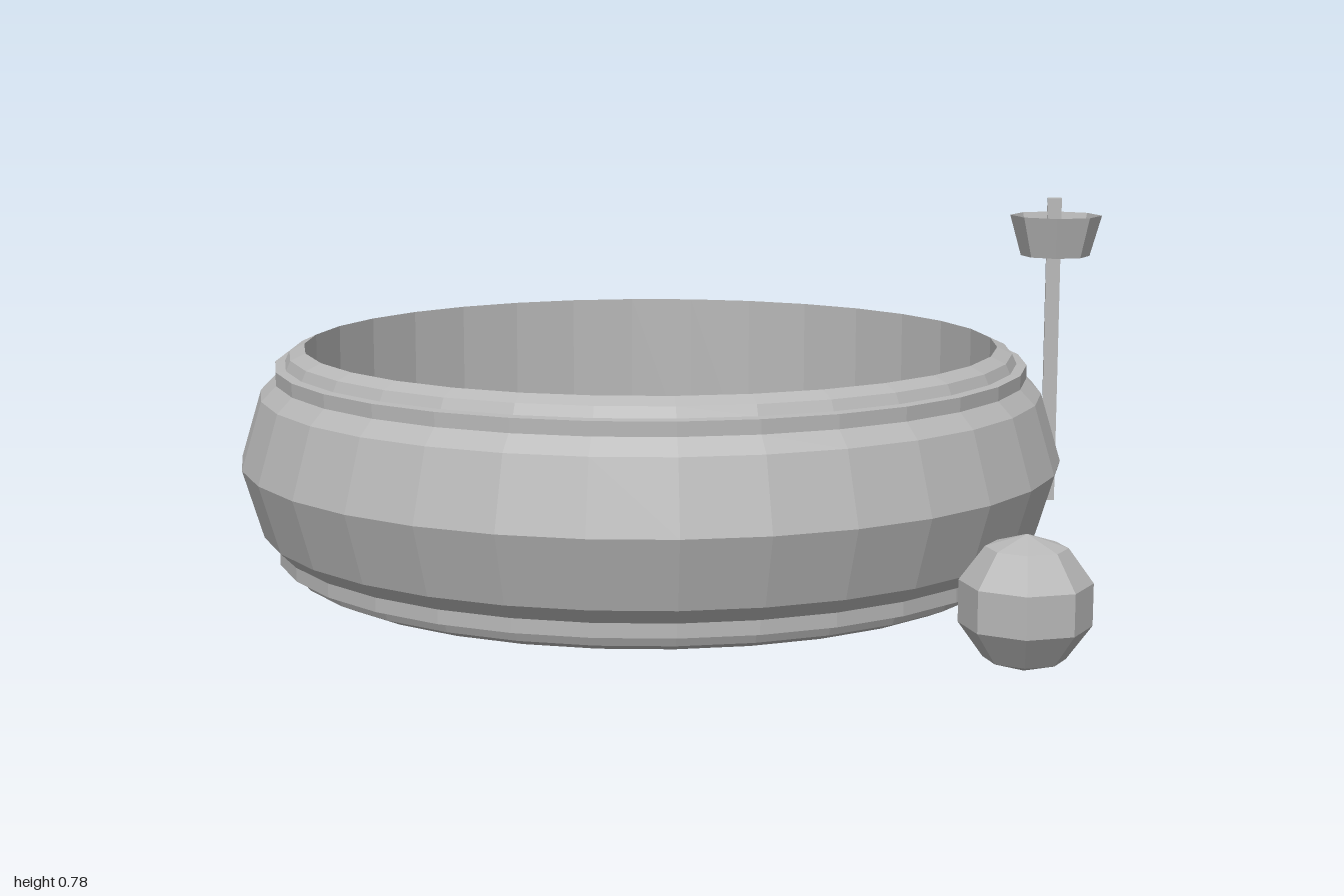
import * as THREE from 'three';

export function createModel() {
  const model = new THREE.Group();
  const grey = new THREE.MeshStandardMaterial({ color: 0xb8b8b8, flatShading: true });
  grey.name = 'plain grey';
  const openGrey = new THREE.MeshStandardMaterial({ color: 0xb8b8b8, flatShading: true, side: THREE.DoubleSide });
  openGrey.name = 'plain grey, two-sided';

  const add = (name, geometry, x, y, z, material = grey) => {
    const mesh = new THREE.Mesh(geometry, material);
    mesh.name = name;
    mesh.position.set(x, y, z);
    model.add(mesh);
    return mesh;
  };
  const lathe = (points, sides) =>
    new THREE.LatheGeometry(points.map(([r, y]) => new THREE.Vector2(r, y)), sides);

  // Paddling pool: the outer wall is mirrored about its widest point
  const mid = 0.272;
  const upper = [[0.87, 0.15], [0.837, 0.183], [0.837, 0.213], [0.815, 0.215], [0.805, 0.237], [0.772, 0.252]];
  const wall = [
    [0, mid - 0.252],
    ...upper.map(([r, h]) => [r, mid - h]).reverse(),
    [0.915, mid],
    ...upper.map(([r, h]) => [r, mid + h]),
    [0.772, 0.09],
  ];
  add('poolWall', lathe(wall, 32), -0.03, 0, -0.006);

  // Flat floor inside the pool
  const floor = new THREE.CircleGeometry(0.772, 32);
  floor.rotateX(-Math.PI / 2);
  add('poolFloor', floor, -0.03, 0.09, -0.006);

  // Beach ball
  add('ball', new THREE.SphereGeometry(0.134, 8, 5), 0.798, 0.144, 0.78);

  // Stool with a slightly pinched waist
  const stool = lathe([
    [0, 0.015], [0.096, 0.015], [0.11, 0.028], [0.11, 0.075], [0.105, 0.115],
    [0.11, 0.155], [0.11, 0.205], [0.096, 0.215], [0, 0.215],
  ], 10);
  stool.rotateY(Math.PI / 2);
  add('stool', stool, -0.89, 0, -0.783);

  // Post with an open tapered hoop
  add('hoopPost', new THREE.BoxGeometry(0.035, 0.77, 0.035), 0.885, 0.405, -0.815);
  add('hoop', new THREE.CylinderGeometry(0.112, 0.084, 0.1, 8, 1, true), 0.886, 0.706, -0.71, openGrey);

  return model;
}
